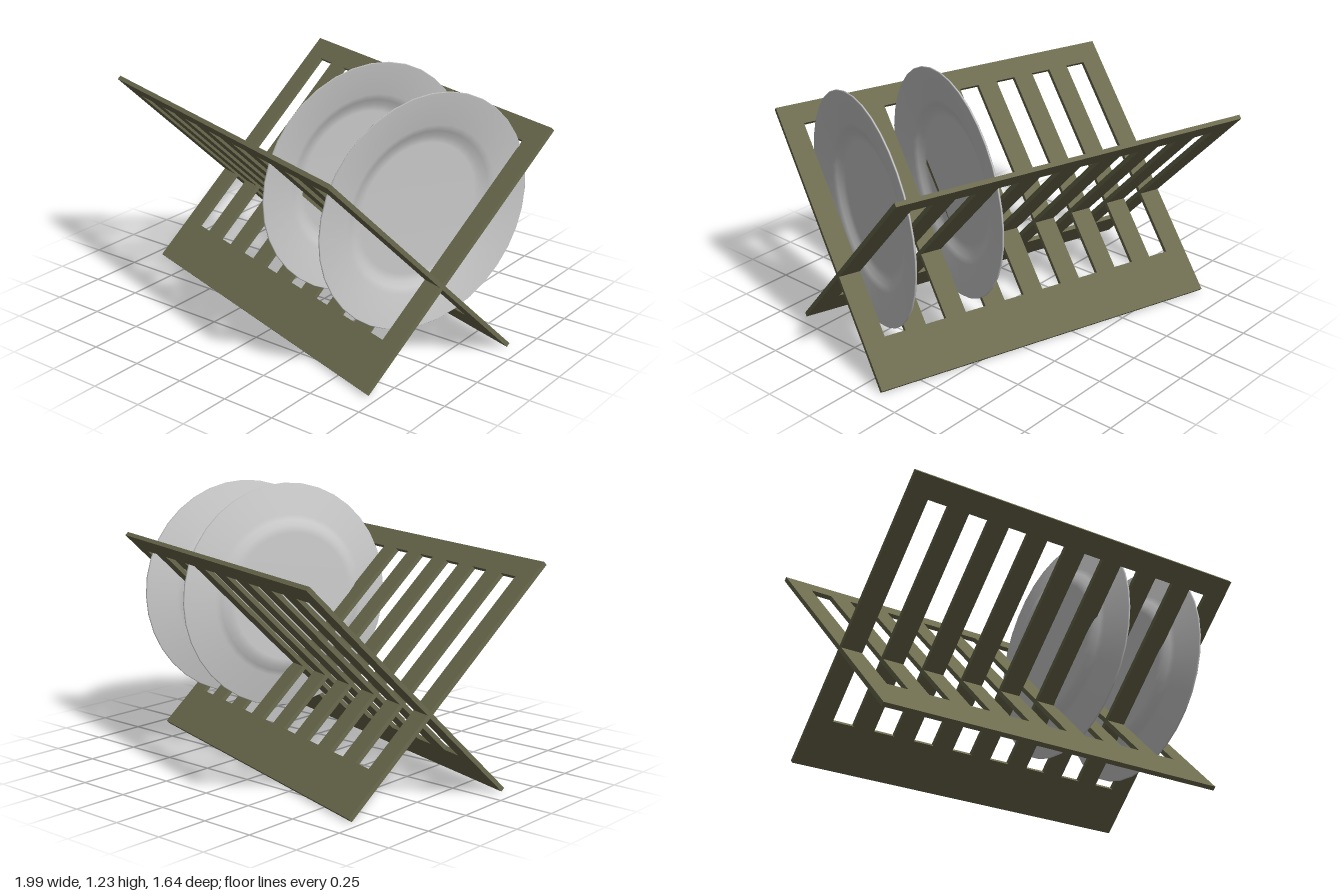
import * as THREE from 'three';

const HALF = 0.86;          // half the rack's length
const BOARD = 1.366;        // board height along its slope
const THICK = 0.02;
const SLOTS = 8;
const PITCH = (HALF * 2) / (SLOTS * 2 + 1); // slat width = slot width

// Rectangle outline, used for the board and its slots
function rect(target, x0, y0, x1, y1) {
  target.moveTo(x0, y0);
  target.lineTo(x1, y0);
  target.lineTo(x1, y1);
  target.lineTo(x0, y1);
  target.closePath();
  return target;
}

// Slotted board, centred on its own middle
function boardGeometry() {
  const h = BOARD / 2;
  const shape = rect(new THREE.Shape(), -HALF, -h, HALF, h);
  for (let i = 0; i < SLOTS; i++) {
    const x = -HALF + PITCH * (2 * i + 1);
    shape.holes.push(rect(new THREE.Path(), x, -h + 0.225, x + PITCH, h - 0.1));
  }
  const geo = new THREE.ExtrudeGeometry(shape, { depth: THICK, bevelEnabled: false });
  return geo.translate(0, 0, -THICK / 2);
}

// Dinner plate, rim circle at the origin, hollow side towards +x
function plateGeometry() {
  const profile = [
    [0, -0.066], [0.3, -0.066], [0.335, -0.06], [0.36, -0.045], [0.385, -0.036],
    [0.526, -0.008], [0.53, -0.002], [0.526, 0.002],
    [0.38, -0.024], [0.352, -0.034], [0.328, -0.048], [0.295, -0.054], [0, -0.054],
  ].map(([r, y]) => new THREE.Vector2(r, y));
  return new THREE.LatheGeometry(profile, 36).rotateZ(-Math.PI / 2);
}

export function createModel() {
  const olive = new THREE.MeshStandardMaterial({ color: 0x6c6b4e });
  olive.name = 'olive wood';
  const china = new THREE.MeshStandardMaterial({ color: 0xcccccc });
  china.name = 'pale china';

  const model = new THREE.Group();
  model.name = 'dishRack';

  // Two crossed boards
  const board = boardGeometry();
  for (const [name, side] of [['boardLeaningBack', -1], ['boardLeaningForward', 1]]) {
    const mesh = new THREE.Mesh(board, olive);
    mesh.name = name;
    mesh.rotation.x = side * Math.PI / 4;
    mesh.position.set(0, 0.49, side * 0.0975);
    model.add(mesh);
  }

  // Plates standing in the slots, leaning slightly
  const plate = plateGeometry();
  for (const [name, x, y] of [['innerPlate', 0.32, 0.705], ['outerPlate', 0.732, 0.68]]) {
    const mesh = new THREE.Mesh(plate, china);
    mesh.name = name;
    mesh.position.set(x, y, -0.006);
    mesh.rotation.set(0, -0.045, -0.038, 'YXZ');
    model.add(mesh);
  }

  // The whole rack stands turned on the ground
  model.rotation.y = -0.307;
  return model;
}
